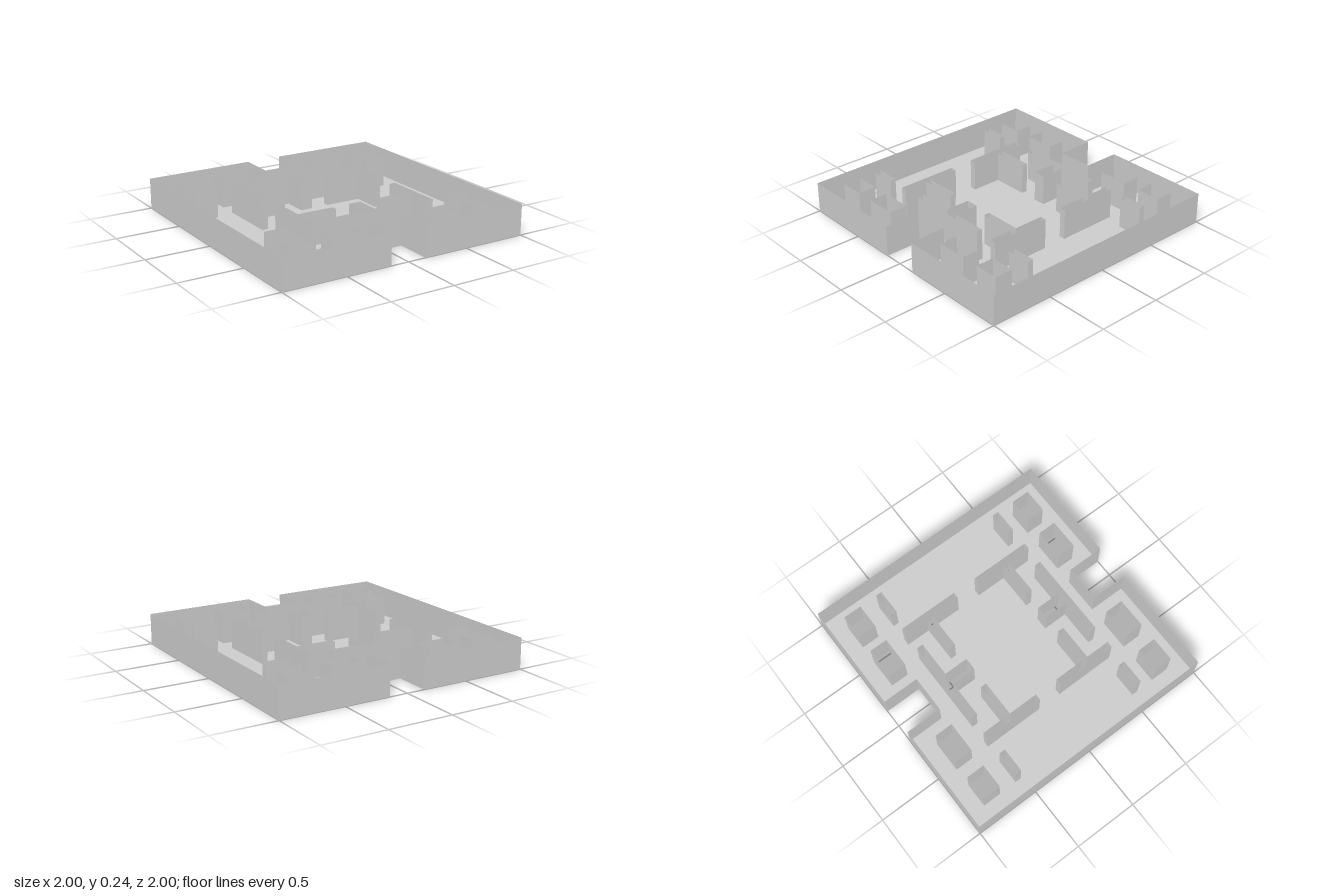
import * as THREE from 'three';

const U = 1 / 21;      // grid step of the plan
const HEIGHT = 5 * U;  // wall height

const material = new THREE.MeshStandardMaterial({
  color: 0xcccccc, flatShading: true, side: THREE.DoubleSide,
});

const rect = (x0, z0, x1, z1) => [[x0, z0], [x1, z0], [x1, z1], [x0, z1]];

// Plan outlines of one quarter, in grid steps; mirrored to the other quarters
const QUARTER_BLOCKS = {
  cornerBlock: rect(14, 15, 18, 18),
  innerBlock: rect(6, 15, 11, 18),
  shortBar: rect(14, 11, 18, 12),
  sideTee: [[10, 2], [11, 2], [11, 12], [10, 12], [10, 8], [4, 8], [4, 7], [10, 7]],
};
const CENTRE_TEE = [[-7, 12], [7, 12], [7, 11], [1, 11], [1, 7], [-1, 7], [-1, 11], [-7, 11]];

// Square border with an entrance notch at the front and the back
const BORDER = [
  [-21, -21], [-3, -21], [-3, -15], [3, -15], [3, -21], [21, -21],
  [21, 21], [3, 21], [3, 15], [-3, 15], [-3, 21], [-21, 21],
];

// Scaled and mirrored outline, always wound the same way
function outline(points, sx = 1, sz = 1) {
  const loop = points.map(([x, z]) => new THREE.Vector2(x * sx * U, z * sz * U));
  return THREE.ShapeUtils.isClockWise(loop) ? loop.reverse() : loop;
}

// Thin upright wall following a closed outline, open at the top
function wall(loop, name) {
  const positions = [];
  loop.forEach((a, i) => {
    const b = loop[(i + 1) % loop.length];
    positions.push(
      a.x, 0, a.y, a.x, HEIGHT, a.y, b.x, HEIGHT, b.y,
      a.x, 0, a.y, b.x, HEIGHT, b.y, b.x, 0, b.y,
    );
  });
  const geometry = new THREE.BufferGeometry();
  geometry.setAttribute('position', new THREE.Float32BufferAttribute(positions, 3));
  geometry.computeVertexNormals();
  const mesh = new THREE.Mesh(geometry, material);
  mesh.name = name;
  return mesh;
}

export function createModel() {
  const model = new THREE.Group();
  model.name = 'maze';

  // Outer wall
  const border = outline(BORDER);
  model.add(wall(border, 'outerWall'));

  // Inner walls, each enclosing an opening in the floor
  const holes = [];
  const addBlock = (points, name, sx, sz) => {
    const loop = outline(points, sx, sz);
    holes.push(loop);
    model.add(wall(loop, name));
  };
  for (const sz of [1, -1]) {
    const end = sz > 0 ? 'Front' : 'Back';
    addBlock(CENTRE_TEE, 'centreTee' + end, 1, sz);
    for (const sx of [1, -1]) {
      const side = sx > 0 ? 'Left' : 'Right';
      for (const [name, points] of Object.entries(QUARTER_BLOCKS)) {
        addBlock(points, name + end + side, sx, sz);
      }
    }
  }

  // Floor sheet; the plan's y axis becomes -z
  const flip = (loop) => loop.map((p) => new THREE.Vector2(p.x, -p.y));
  const shape = new THREE.Shape(flip(border));
  shape.holes = holes.map((loop) => new THREE.Path(flip(loop)));
  const floor = new THREE.Mesh(new THREE.ShapeGeometry(shape).rotateX(-Math.PI / 2), material);
  floor.name = 'floor';
  model.add(floor);

  return model;
}
